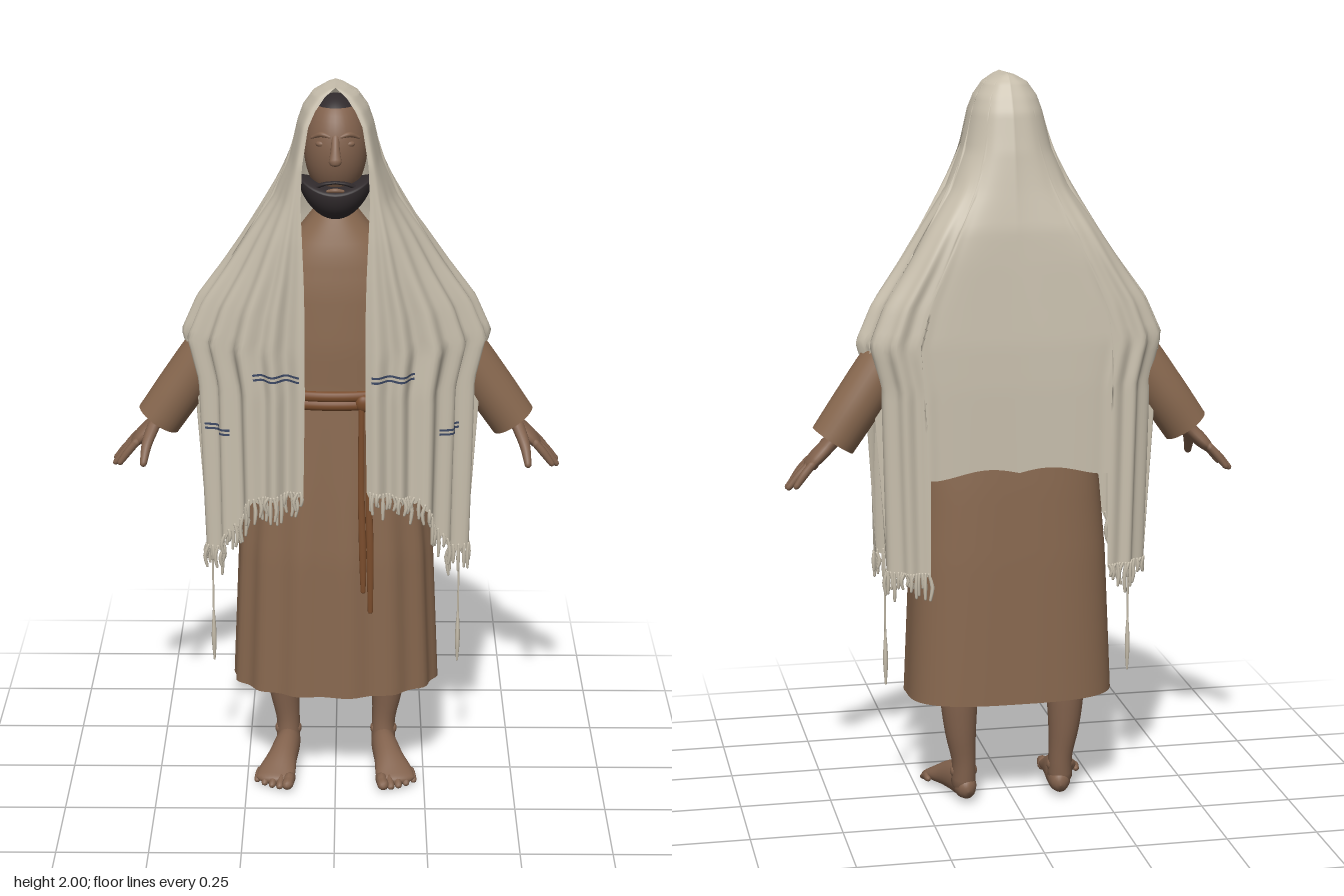
import * as THREE from 'three';
import { mergeGeometries } from 'three/addons/utils/BufferGeometryUtils.js';

const V = (x, y, z) => new THREE.Vector3(x, y, z);
const { lerp, clamp } = THREE.MathUtils;

// Eased 0 to 1 as x goes from a to b, in either direction
function ease(x, a, b) {
  const t = clamp((x - a) / (b - a), 0, 1);
  return t * t * (3 - 2 * t);
}

function material(name, color, side = THREE.FrontSide) {
  const m = new THREE.MeshStandardMaterial({ color, side });
  m.name = name;
  return m;
}

function random(seed) {
  return () => (seed = (seed * 16807) % 2147483647) / 2147483647;
}

// Interpolates a table whose first column is falling y
function rowAt(rows, y) {
  let i = 0;
  while (i < rows.length - 2 && y < rows[i + 1][0]) i++;
  const a = rows[i], b = rows[i + 1];
  const t = clamp((a[0] - y) / (a[0] - b[0]), 0, 1);
  return a.map((v, k) => lerp(v, b[k], t));
}

// Grid surface from point(i, j); closed joins the last column to the first
function grid(rows, cols, point, closed = false) {
  const pos = [], index = [], n = closed ? cols : cols + 1;
  for (let i = 0; i <= rows; i++) for (let j = 0; j < n; j++) pos.push(...point(i, j).toArray());
  for (let i = 0; i < rows; i++) for (let j = 0; j < cols; j++) {
    const a = i * n + j, b = i * n + (j + 1) % n, c = b + n, d = a + n;
    index.push(a, b, c, a, c, d);
  }
  const g = new THREE.BufferGeometry();
  g.setAttribute('position', new THREE.Float32BufferAttribute(pos, 3));
  g.setIndex(index);
  g.computeVertexNormals();
  return g;
}

// Tapered oval tube along a path; radii are [along ref, across ref]
function limb(pts, radii, { ref = V(0, 0, 1), sides = 16, steps = 14, cap = true } = {}) {
  const path = new THREE.CatmullRomCurve3(pts.map(p => V(...p)));
  const size = new THREE.CatmullRomCurve3(radii.map(r => V(r[0], r[1], 0)));
  const rings = [];
  for (let i = 0; i <= steps; i++) {
    const t = i / steps;
    rings.push({ p: path.getPoint(t), d: path.getTangent(t), r: size.getPoint(t) });
  }
  if (cap) {
    const round = (k, sign) => [[.6, .75], [.85, .4], [.92, 0]].map(([e, s]) => {
      const q = rings[k], len = Math.min(q.r.x, q.r.y) * e * sign;
      return { p: q.p.clone().addScaledVector(q.d, len), d: q.d, r: q.r.clone().multiplyScalar(s) };
    });
    const start = round(0, -1).reverse(), end = round(steps, 1);
    rings.unshift(...start);
    rings.push(...end);
  }
  return grid(rings.length - 1, sides, (i, j) => {
    const { p, d, r } = rings[i], a = j / sides * Math.PI * 2;
    const e1 = ref.clone().addScaledVector(d, -ref.dot(d)).normalize();
    const e2 = d.clone().cross(e1);
    return p.clone().addScaledVector(e1, Math.cos(a) * r.x).addScaledVector(e2, Math.sin(a) * r.y);
  }, true);
}

// Robe: y, half width, front z, back z; rounder in front, boxier behind
const ROBE = [[1.67, .045, .05, -.05], [1.62, .08, .07, -.08], [1.55, .14, .095, -.105], [1.45, .185, .112, -.12],
  [1.3, .2, .125, -.135], [1.16, .21, .128, -.142], [.9, .25, .15, -.158], [.7, .268, .165, -.166], [.3, .286, .176, -.174]];
function robePoint(a, y, lift = 0) {
  const [, w, zf, zb] = rowAt(ROBE, y);
  const s = Math.sin(a), c = Math.cos(a), e = 2 / (c > 0 ? 2.15 : 3);
  const fold = lift ? 0 : .006 * ease(y, 1.15, .6) * Math.sin(a * 14) * ease(c, -.2, .4);
  const x = Math.sign(s) * Math.abs(s) ** e, z = Math.abs(c) ** e;
  return V(x * (w + lift + fold), y, c > 0 ? z * (zf + lift + fold) : -z * (lift + fold - zb));
}

// Shawl: y, half width, back z, front z, opening half width, side z
const SHAWL = [[2, 0, -.012, .105, 0, .04], [1.993, .028, -.028, .106, .008, .035], [1.975, .06, -.048, .109, .028, .03],
  [1.94, .085, -.07, .116, .052, .025], [1.9, .099, -.09, .125, .07, .02], [1.8, .122, -.115, .143, .086, .01],
  [1.7, .165, -.132, .15, .09, -.005], [1.6, .235, -.15, .157, .086, -.02], [1.5, .3, -.158, .161, .082, -.035],
  [1.4, .37, -.165, .164, .08, -.05], [1.3, .413, -.172, .167, .08, -.055], [1.18, .38, -.175, .169, .08, -.05],
  [.6, .366, -.174, .171, .09, -.05]];
// u runs from the middle of the back (0) to the front edge (1)
function shawlPoint(u, y, s, lift = 0) {
  const [, w, zb, zf, xe, zc] = rowAt(SHAWL, y), k = ease(y, 1.85, 1.5);
  const curve = new THREE.CatmullRomCurve3([
    V(0, y, zb), V(lerp(.5, .56, k) * w, y, lerp(zc, zb, lerp(.87, 1, k))),
    V(.85 * w, y, lerp(zc, zb, lerp(.53, .88, k))), V(w, y, zc),
    V(lerp(xe, w, .8), y, lerp(zc, zf, .55)), V(lerp(xe, w, .4), y, lerp(zc, zf, .95)), V(xe, y, zf)]);
  const p = curve.getPoint(u);
  const d = curve.getPoint(Math.min(u + .01, 1)).sub(curve.getPoint(Math.max(u - .01, 0)));
  const n = V(d.z, 0, -d.x).normalize();
  const amp = lerp(.007, .014, ease(u, .4, .6)) * ease(y, 1.78, 1.2) * ease(u, .15, .28) * lerp(1, .5, ease(u, .9, 1));
  const wave = Math.sin(u * 66 + s * .6) + .4 * Math.sin(u * 31 + s + y * 2);
  p.addScaledVector(n, amp * wave + lift);
  p.x *= s;
  return p;
}
function shawlHem(u) {
  if (u < .21) return .95 + .012 * Math.sin(u * 25);
  if (u < .43) return .67;
  if (u < .56) return 1.27;
  if (u < .68) return .69;
  return u < .8 ? lerp(.72, .87, (u - .68) / .12) : lerp(.87, .9, (u - .8) / .2);
}

export function createModel() {
  const model = new THREE.Group();
  const cloth = material('cream shawl', 0xc8bfad, THREE.DoubleSide);
  const brown = material('brown robe', 0x88684f, THREE.DoubleSide);
  const skin = material('skin', 0x82624d);
  const hair = material('dark hair', 0x302a2c);
  const leather = material('tan belt', 0x774a2a);
  const blue = material('blue stripe', 0x3e4a66, THREE.DoubleSide);
  const add = (name, geometry, mat) => {
    const m = new THREE.Mesh(geometry, mat);
    m.name = name;
    model.add(m);
  };
  const ball = (name, mat, p, r) => {
    const g = new THREE.SphereGeometry(1, 32, 24);
    g.scale(...r);
    g.translate(...p);
    add(name, g, mat);
  };

  // Robe and belt
  add('robe', grid(44, 96, (i, j) => robePoint(j / 96 * Math.PI * 2, lerp(.3, 1.67, i / 44)), true), brown);
  for (const y of [1.145, 1.168]) {
    add('belt', grid(8, 64, (i, j) => {
      const t = i / 8 * Math.PI;
      return robePoint(j / 64 * Math.PI * 2, y - Math.cos(t) * .015, .002 + .012 * Math.sin(t));
    }, true), leather);
  }
  ball('beltKnot', leather, [.075, 1.15, .132], [.022, .024, .014]);
  for (const [x, end] of [[.07, .62], [.09, .56]]) {
    add('beltEnd', limb([[x, 1.14, .136], [x, .9, .152], [x + .004, .75, .164], [x + .006, end, .172]],
      [[.006, .008], [.006, .009], [.006, .01], [.005, .007]]), leather);
  }

  // Shawl: one sheet from front edge to front edge, over the head
  const half = 110, rows = 72;
  add('shawl', grid(rows, half * 2, (i, j) => {
    const k = j - half, u = Math.abs(k) / half, s = k < 0 ? -1 : 1;
    const ragged = u > .21 ? .008 * Math.sin(k * 2.3) : 0;
    return shawlPoint(u, 2 - (2 - shawlHem(u) - ragged) * (i / rows) ** 1.8, s);
  }), cloth);

  // Fringe, corner tassels and woven stripes
  const rnd = random(77), strands = [];
  for (const s of [-1, 1]) {
    for (let u = .225; u < .99; u += .0125) {
      const hem = shawlHem(u);
      if (hem > 1) continue;
      const p = shawlPoint(u, hem + .012, s), length = .03 + rnd() * .05, sway = (rnd() - .5) * .02;
      strands.push(limb([p.toArray(), [p.x + sway, p.y - length * .5, p.z], [p.x + sway * .4, p.y - length, p.z]],
        [[.004, .004], [.006, .006], [.004, .004]], { sides: 6, steps: 4 }));
    }
    const x = s * .343;
    add('tasselCord', limb([[x, .7, -.012], [x, .46, -.012]], [[.003, .003], [.003, .003]], { sides: 6 }), cloth);
    add('tassel', limb([[x, .48, -.012], [x, .4, -.012], [x, .33, -.012]], [[.003, .003], [.008, .007], [.003, .003]], { sides: 8 }), cloth);
    for (const [y, u0, u1] of [[1.237, .82, .98], [1.224, .82, .98], [1.062, .62, .72], [1.05, .62, .72]]) {
      add('stripe', grid(1, 60, (i, j) => shawlPoint(lerp(u0, u1, j / 60), y + (i - .5) * .006, s, .003)), blue);
    }
  }
  add('fringe', mergeGeometries(strands), cloth);

  // Head
  ball('head', skin, [0, 1.83, .04], [.083, .135, .094]);
  add('neck', limb([[0, 1.6, 0], [0, 1.75, .02]], [[.05, .05], [.05, .05]]), skin);
  add('nose', limb([[0, 1.875, .122], [0, 1.845, .137], [0, 1.815, .15]], [[.008, .01], [.011, .012], [.012, .017]]), skin);
  const cap = new THREE.SphereGeometry(1, 32, 12, 0, Math.PI * 2, 0, Math.PI * .2);
  cap.scale(.087, .139, .1);
  cap.translate(0, 1.832, .04);
  add('hair', cap, hair);
  const beard = new THREE.SphereGeometry(1, 40, 28);
  const bp = beard.attributes.position;
  for (let i = 0; i < bp.count; i++) {
    const x = bp.getX(i) * .098, y = bp.getY(i);
    bp.setXYZ(i, x, 1.722 + y * (y > 0 ? .02 : .078) + 3.6 * x * x, .066 + bp.getZ(i) * .08);
  }
  beard.computeVertexNormals();
  add('beard', beard, hair);
  add('lips', limb([[-.02, 1.735, .137], [0, 1.738, .142], [.02, 1.735, .137]], [[.004, .004], [.006, .006], [.004, .004]]), skin);
  for (const s of [-1, 1]) {
    add('moustache', limb([[0, 1.756, .127], [s * .03, 1.75, .121], [s * .055, 1.737, .111]],
      [[.008, .004], [.008, .005], [.006, .006]]), hair);
    add('brow', limb([[s * .012, 1.874, .121], [s * .035, 1.88, .115], [s * .06, 1.868, .095]],
      [[.007, .006], [.008, .007], [.006, .004]]), skin);
    ball('eyelid', skin, [s * .034, 1.855, .111], [.017, .01, .013]);
  }

  for (const s of [-1, 1]) {
    // Sleeve, palm, fingers and thumb
    add('sleeve', limb([[s * .19, 1.43, -.045], [s * .34, 1.25, -.057], [s * .42, 1.135, -.062], [s * .487, 1.037, -.063]],
      [[.068, .07], [.066, .066], [.067, .066], [.064, .064]], { cap: false, sides: 28 }), brown);
    add('palm', limb([[s * .43, 1.11, -.062], [s * .495, 1.03, -.062], [s * .535, .99, -.062], [s * .553, .972, -.063]],
      [[.03, .026], [.032, .021], [.044, .019], [.042, .014]]), skin);
    [[.594, .922], [.609, .912], [.609, .916], [.592, .925]].forEach(([x, y], i) => {
      const z = -.028 - i * .023, tip = -.02 - i * .029;
      add('finger', limb([[s * .548, .98, z], [s * lerp(.548, x, .5), lerp(.98, y, .46), lerp(z, tip, .5)], [s * x, y, tip]],
        [[.013, .011], [.012, .011], [.009, .008]], { sides: 10 }), skin);
    });
    add('thumb', limb([[s * .5, 1.025, -.04], [s * .517, .985, .004], [s * .525, .943, .042]],
      [[.02, .018], [.016, .015], [.011, .01]], { sides: 10 }), skin);

    // Leg, foot and toes
    add('leg', limb([[s * .152, .5, -.07], [s * .15, .3, -.075], [s * .146, .2, -.078], [s * .137, .11, -.076], [s * .137, .05, -.07]],
      [[.06, .055], [.055, .052], [.046, .043], [.038, .033], [.04, .034]], { sides: 20 }), skin);
    add('foot', limb([[s * .133, .04, -.088], [s * .137, .05, -.045], [s * .152, .04, .03], [s * .167, .024, .09], [s * .173, .017, .118]],
      [[.035, .03], [.048, .035], [.039, .042], [.023, .054], [.015, .052]], { ref: V(0, 1, 0), sides: 24 }), skin);
    for (const x of [.11, .164]) ball('ankleBone', skin, [s * x, .085, -.072], [.011, .016, .016]);
    for (let i = 0; i < 5; i++) {
      const x = .132 + i * .0215, r = i ? .0115 - i * .0006 : .016, z = .15 - i * i * .0028;
      add('toe', limb([[s * (x - .004), .018, z - .045], [s * x, .018, z - .018], [s * (x + .003), r, z]],
        [[r, r], [r, r], [r * .9, r]], { ref: V(0, 1, 0), sides: 10, steps: 6 }), skin);
    }
  }
  return model;
}
